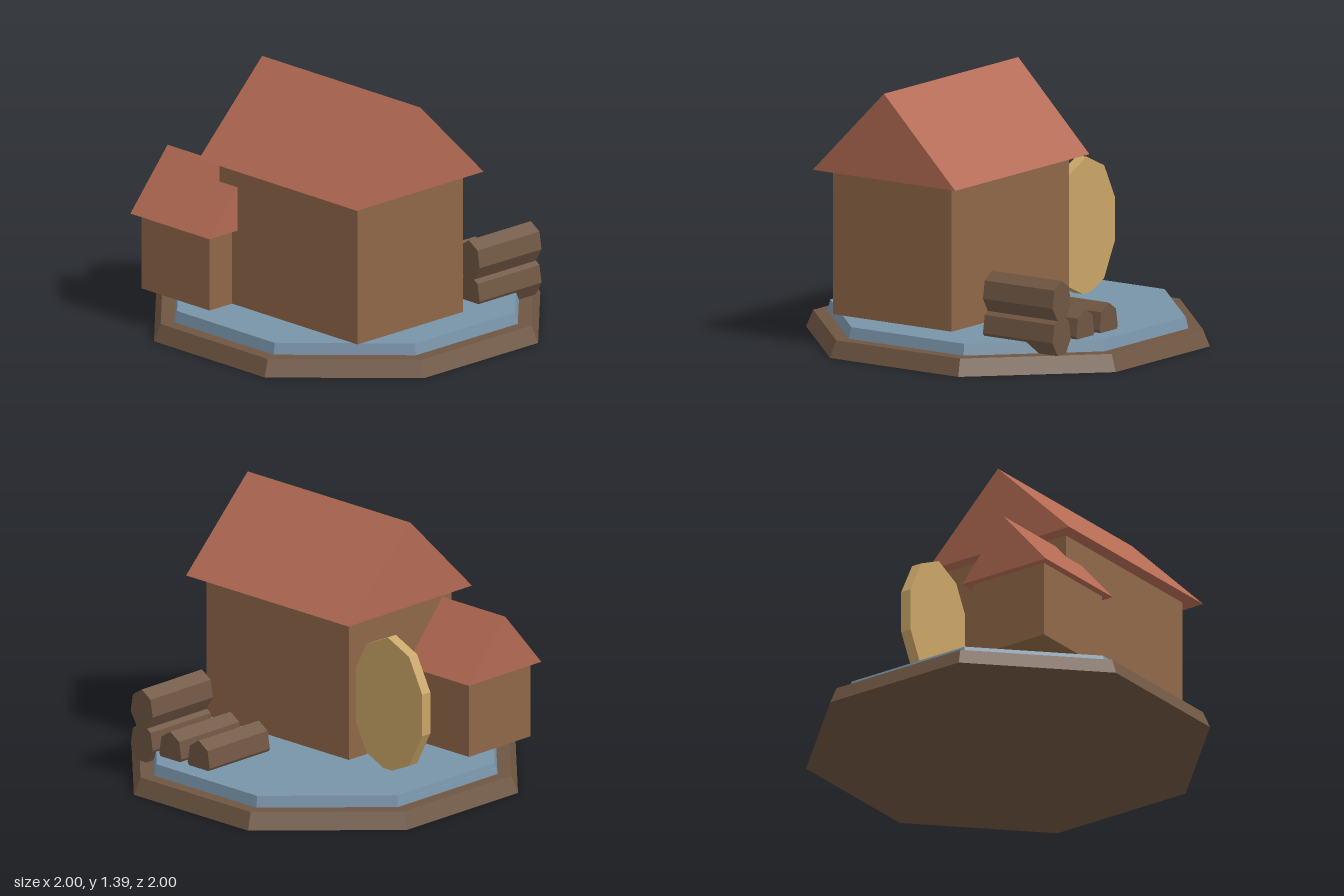
import * as THREE from 'three';

const mat = (name, color) => {
  const m = new THREE.MeshStandardMaterial({ color, flatShading: true });
  m.name = name;
  return m;
};

export function createModel() {
  const model = new THREE.Group();
  const darkWood = mat('dark wood', 0x6f5642);
  const wallWood = mat('wall wood', 0x8f6747);
  const roofTile = mat('roof tile', 0xb36a53);
  const water = mat('water blue', 0x7893a8);
  const paleWood = mat('pale wood', 0xc9a566);

  const add = (name, geometry, material, x, y, z, parent = model) => {
    const mesh = new THREE.Mesh(geometry, material);
    mesh.name = name;
    mesh.position.set(x, y, z);
    parent.add(mesh);
    return mesh;
  };

  // Tapered octagon slab with its flat sides facing the axes, sized by apothem
  const slab = (name, top, bottom, y0, y1, material) => {
    const k = 1 / Math.cos(Math.PI / 8);
    const g = new THREE.CylinderGeometry(top * k, bottom * k, y1 - y0, 8);
    g.rotateY(Math.PI / 8);
    add(name, g, material, 0, (y0 + y1) / 2, 0);
  };
  slab('baseRim', 0.965, 1, 0, 0.09, darkWood);
  slab('pond', 0.88, 0.895, 0.085, 0.15, water);

  // House: box walls under an overhanging gable roof with its ridge along x
  const house = (name, x, z, w, d, wallTop, ridge, roofW, roofD) => {
    const group = new THREE.Group();
    group.name = name;
    model.add(group);
    const h = wallTop - 0.16;
    add('walls', new THREE.BoxGeometry(w, h, d), wallWood, x, 0.16 + h / 2, z, group);
    const gable = new THREE.Shape();
    gable.moveTo(-roofD / 2, 0);
    gable.lineTo(roofD / 2, 0);
    gable.lineTo(0, ridge - wallTop);
    gable.closePath();
    const g = new THREE.ExtrudeGeometry(gable, { depth: roofW, bevelEnabled: false });
    g.translate(0, 0, -roofW / 2);
    g.rotateY(Math.PI / 2);
    add('roof', g, roofTile, x, wallTop, z, group);
  };
  house('mainHouse', 0.19, 0.228, 1.03, 0.766, 0.93, 1.39, 1.18, 0.92);
  house('annex', -0.485, 0.545, 0.51, 0.46, 0.57, 0.885, 0.59, 0.54);

  // Ten-sided upright wheel, narrower than tall
  const wheel = new THREE.CylinderGeometry(1, 1, 0.06, 10);
  wheel.rotateX(Math.PI / 2);
  wheel.scale(0.262, 0.37, 1);
  add('waterWheel', wheel, paleWood, -0.555, 0.505, -0.07);

  // Seven-sided logs, one corner up: three on the ground and one on top
  const log = new THREE.CylinderGeometry(1, 1, 0.45, 7);
  log.rotateX(-Math.PI / 2);
  if (log.attributes.position.getY(0) < 0) log.rotateZ(Math.PI);
  log.scale(0.082, 0.111, 1);
  const spots = [[0.165, 0.19], [0.371, 0.19], [0.578, 0.19], [0.578, 0.373]];
  spots.forEach(([x, y], i) => add('log' + (i + 1), log, darkWood, x, y, -0.547));

  return model;
}
